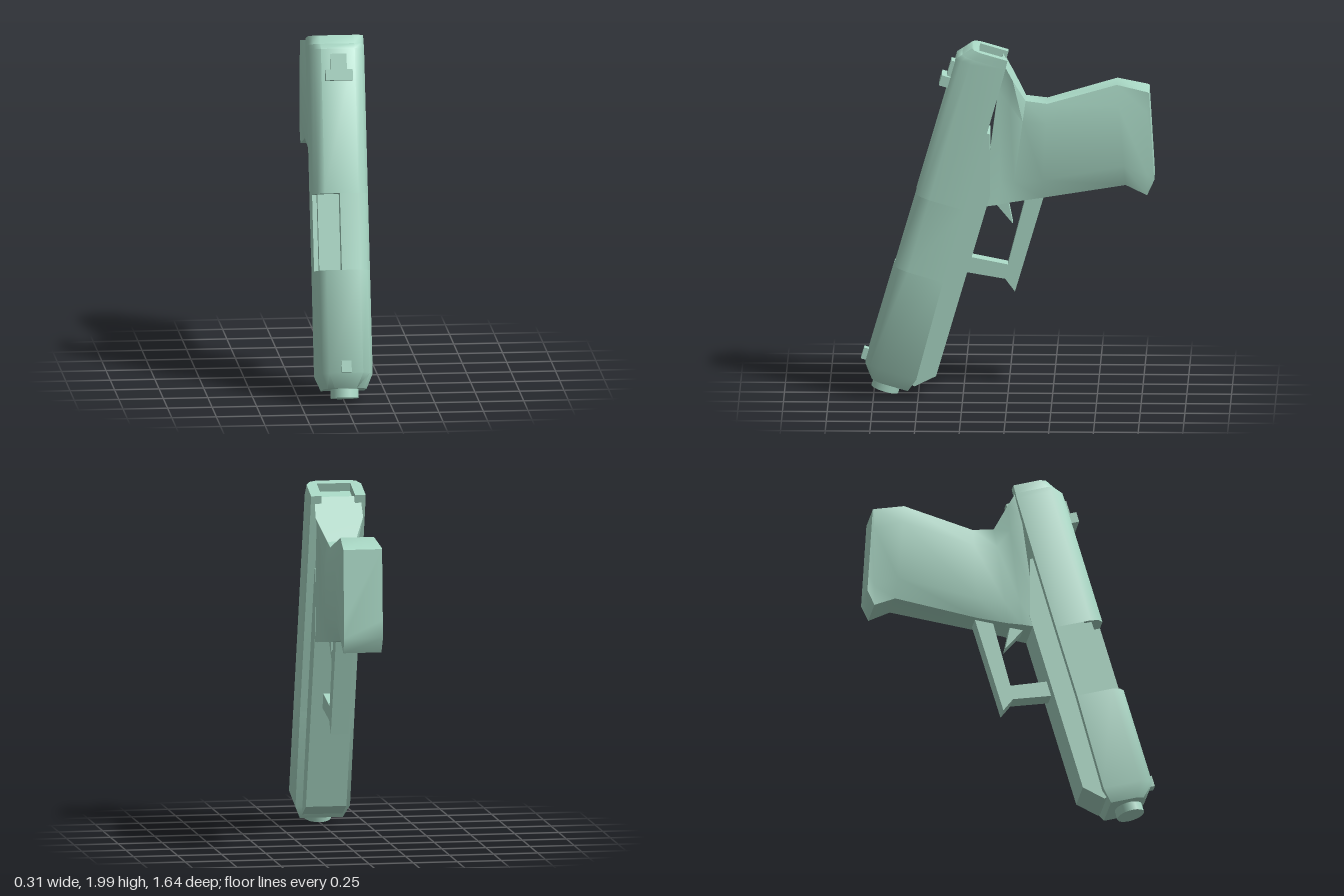
import * as THREE from 'three';
import { toCreasedNormals } from 'three/addons/utils/BufferGeometryUtils.js';

const mint = new THREE.MeshStandardMaterial({ color: 0xa9d8c5 });
mint.name = 'mint';

function part(name, geometry, parent) {
  const mesh = new THREE.Mesh(geometry, mint);
  mesh.name = name;
  parent.add(mesh);
  return mesh;
}

// Side profile given as [z, y] points, extruded evenly across x
function profile(points, halfWidth) {
  const shape = new THREE.Shape(points.map(p => new THREE.Vector2(...p)));
  const g = new THREE.ExtrudeGeometry(shape, { depth: halfWidth * 2, bevelEnabled: false });
  g.rotateY(-Math.PI / 2);
  g.translate(halfWidth, 0, 0);
  return g;
}

// Closed skin over rings of [x, y, z]; rings run towards +z, counter-clockwise seen from +z
function loft(rings, crease) {
  const n = rings[0].length, index = [];
  for (let i = 0; i < rings.length - 1; i++) {
    for (let j = 0; j < n; j++) {
      const k = (j + 1) % n, a = i * n, b = a + n;
      index.push(a + j, a + k, b + k, a + j, b + k, b + j);
    }
  }
  const cap = ring => THREE.ShapeUtils.triangulateShape(ring.map(p => new THREE.Vector2(p[0], p[1])), []);
  const last = (rings.length - 1) * n;
  for (const [a, b, c] of cap(rings[0])) index.push(a, c, b);
  for (const [a, b, c] of cap(rings[rings.length - 1])) index.push(last + a, last + b, last + c);
  const g = new THREE.BufferGeometry();
  g.setAttribute('position', new THREE.Float32BufferAttribute(rings.flat(2), 3));
  g.setIndex(index);
  return toCreasedNormals(g, crease);
}

// Rounded slide section at z; drop lowers the top, notch opens the rear pocket
function section(z, { drop = 0, w = 0.155, bottom = -0.285, notch = false, port = false } = {}) {
  const pts = [[-w, bottom]];
  if (notch) pts.push([-0.095, bottom], [-0.095, -0.11], [0.095, -0.11], [0.095, bottom]);
  pts.push([w, bottom], [w, -0.08 - drop * 0.6], [w - 0.022, -0.028 - drop * 0.8], [w - 0.06, -drop]);
  if (port) pts.push([-0.01, 0], [-0.01, -0.07], [-0.13, -0.07], [-0.13, -0.12], [-w, -0.12]);
  else pts.push([0.06 - w, -drop], [0.022 - w, -0.028 - drop * 0.8], [-w, -0.08 - drop * 0.6]);
  return pts.map(([x, y]) => [x, y, z]);
}

function box(name, x0, x1, y0, y1, z0, z1, parent) {
  const g = new THREE.BoxGeometry(x1 - x0, y1 - y0, z1 - z0);
  g.translate((x0 + x1) / 2, (y0 + y1) / 2, (z0 + z1) / 2);
  return part(name, g, parent);
}

export function createModel() {
  const model = new THREE.Group();
  model.name = 'model';

  // Upper assembly: local z runs along the barrel, local y towards the sights
  const upper = new THREE.Group();
  upper.name = 'upperAssembly';
  upper.position.set(0, 1.945, 0.287);
  upper.rotation.x = Math.atan2(0.96, 0.28);
  model.add(upper);

  // Slide in four stretches: pocketed rear, body, cut-away port, muzzle end
  part('slideRear', loft([
    section(-0.08, { drop: 0.068, notch: true, bottom: -0.276 }),
    section(-0.03, { drop: 0.026, notch: true, bottom: -0.278 }),
  ], 0.9), upper);
  part('slideBody', loft([
    section(-0.03, { drop: 0.026, bottom: -0.278 }),
    section(0, { bottom: -0.28 }),
    section(0.81),
  ], 0.9), upper);
  part('slidePort', loft([section(0.81, { port: true }), section(1.24, { port: true })], 0.9), upper);
  part('slideFront', loft([
    section(1.24),
    section(1.818, { bottom: -0.298 }),
    section(1.9, { drop: 0.06, w: 0.122, bottom: -0.272 }),
  ], 0.9), upper);

  // Barrel tip
  const barrel = new THREE.CylinderGeometry(0.078, 0.078, 0.2, 20);
  barrel.rotateX(Math.PI / 2);
  barrel.translate(0, -0.15, 1.85);
  part('barrel', barrel, upper);

  // Sights
  box('frontSight', -0.028, 0.028, -0.01, 0.028, 1.75, 1.815, upper);
  box('rearSight', -0.076, 0.076, -0.01, 0.05, 0.12, 0.18, upper);
  box('rearSightBase', -0.046, 0.046, -0.01, 0.022, 0.03, 0.12, upper);

  // Frame rail under the slide
  part('frame', profile([[0.36, -0.27], [1.86, -0.28], [1.865, -0.3], [1.774, -0.4], [0.7, -0.4], [0.36, -0.3]], 0.115), upper);

  // Grip rings: top z, top y, bottom z, bottom y, half widths at top, middle and bottom
  const grip = [
    [-0.79, 1.755, -0.82, 1.257, 0.11, 0.11, 0.11],
    [-0.782, 1.76, -0.78, 1.17, 0.11, 0.112, 0.108],
    [-0.61, 1.798, -0.66, 1.225, 0.095, 0.127, 0.095],
    [-0.22, 1.685, -0.19, 1.146, 0.085, 0.11, 0.08],
    [-0.1, 1.7, -0.02, 1.122, 0.08, 0.1, 0.09],
    [-0.03, 1.825, 0.06, 1.11, 0.135, 0.11, 0.11],
    [0.03, 1.935, 0.14, 1.1, 0.13, 0.115, 0.115],
  ].map(([zt, yt, zb, yb, wt, wm, wb]) => {
    const at = (w, t) => [w, yb + (yt - yb) * t, zb + (zt - zb) * t];
    return [at(-wb, 0), at(wb, 0), at(wm, 0.2), at(wm, 0.8), at(wt, 1), at(-wt, 1), at(-wm, 0.8), at(-wm, 0.2)];
  });
  part('grip', loft(grip, 0.7), model);

  // Trigger guard and trigger
  part('triggerGuard', profile([
    [0.24, 0.805], [0.2, 0.797], [0, 0.757], [-0.105, 1.16], [-0.205, 1.16],
    [-0.04, 0.602], [0.015, 0.675], [0.25, 0.715],
  ], 0.05), model);
  part('trigger', profile([[0.09, 1.13], [0.074, 1.11], [-0.027, 0.99], [0, 1.13]], 0.04), model);

  return model;
}
